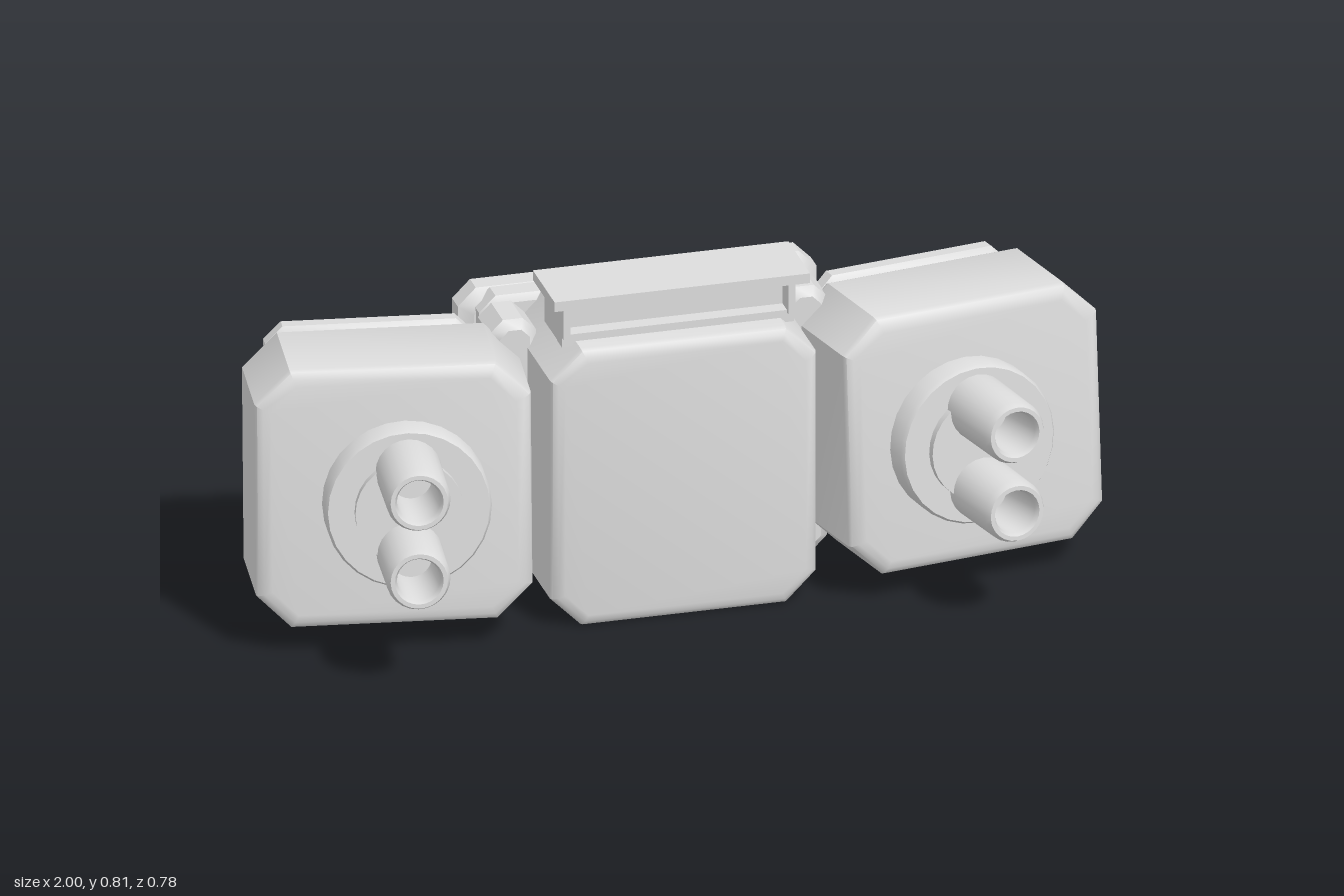
import * as THREE from 'three';
import { toCreasedNormals } from 'three/addons/utils/BufferGeometryUtils.js';

const grey = new THREE.MeshStandardMaterial({ color: 0xdcdcdc });
grey.name = 'pale grey';

function add(parent, name, geometry, x = 0, y = 0, z = 0) {
  const mesh = new THREE.Mesh(geometry, grey);
  mesh.name = name;
  mesh.position.set(x, y, z);
  parent.add(mesh);
  return mesh;
}

// Block with cut corners and softened front and back rims, centred on its origin
function bevelBlock(w, h, d, cut, rim, rimDepth = rim, segments = 1) {
  const a = w / 2 - rim, b = h / 2 - rim;
  const shape = new THREE.Shape([
    [a, -b + cut], [a, b - cut], [a - cut, b], [-a + cut, b],
    [-a, b - cut], [-a, -b + cut], [-a + cut, -b], [a - cut, -b],
  ].map(([x, y]) => new THREE.Vector2(x, y)));
  const geometry = new THREE.ExtrudeGeometry(shape, {
    depth: d - 2 * rimDepth, bevelEnabled: true, bevelSegments: segments,
    bevelSize: rim, bevelThickness: rimDepth,
  }).translate(0, 0, -d / 2 + rimDepth);
  return toCreasedNormals(geometry, 0.6);
}

// Turned part whose axis points along +z
function turned(points, sides) {
  const geometry = new THREE.LatheGeometry(points.map(([r, z]) => new THREE.Vector2(r, z)), sides);
  return toCreasedNormals(geometry.rotateX(Math.PI / 2), 0.6);
}

function createWing(side) {
  const wing = new THREE.Group();
  wing.name = side > 0 ? 'leftPod' : 'rightPod';
  wing.position.set(side * 0.665, 0.37, -0.05);
  wing.rotation.set(-0.073, side * 0.157, 0, 'YXZ');

  add(wing, 'podBody', bevelBlock(0.635, 0.625, 0.3, 0.06, 0.035, 0.025, 3), 0, 0, 0.005);

  // Mounting disc with its raised centre
  const cx = -0.025 * side;
  add(wing, 'mountDisc', turned([[0, 0.12], [0.192, 0.12], [0.192, 0.213], [0.186, 0.223], [0, 0.223]], 28), cx, -0.007);
  add(wing, 'discCentre', turned([[0, 0.21], [0.125, 0.21], [0.125, 0.242], [0, 0.242]], 28), cx, -0.007);

  // Two hollow barrels, one above the other, with their mouths level in depth
  for (const y of [-0.098, 0.098]) {
    add(wing, 'barrel', turned([
      [0.076, 0.2], [0.074, 0.415], [0.066, 0.433], [0.056, 0.433], [0.05, 0.42], [0.048, 0.27], [0, 0.27],
    ], 24), cx, y - 0.01, y * 0.073);
  }

  // Rear cover, its inner step, lower panel and base lip
  const x = 0.014 * side;
  add(wing, 'coverStep', bevelBlock(0.44, 0.54, 0.1, 0.03, 0.01), x, 0, -0.175);
  add(wing, 'rearCover', bevelBlock(0.48, 0.585, 0.07, 0.03, 0.018), x, 0, -0.23);
  add(wing, 'lowerPanel', bevelBlock(0.445, 0.1, 0.02, 0.008, 0.003), x, -0.222, -0.258);
  add(wing, 'baseLip', bevelBlock(0.42, 0.05, 0.17, 0.015, 0.01), x, -0.303, -0.165);

  // Round bolt with a six-sided head
  const bolt = turned([[0, 0], [0.06, 0], [0.06, 0.025], [0.054, 0.031], [0, 0.031]], 20).rotateY(Math.PI);
  add(wing, 'boltCollar', bolt, side * 0.165, -0.19, -0.245);
  const head = new THREE.CylinderGeometry(0.04, 0.04, 0.012, 6).rotateX(Math.PI / 2);
  add(wing, 'boltHead', toCreasedNormals(head, 0.5), side * 0.165, -0.19, -0.279);
  return wing;
}

export function createModel() {
  const model = new THREE.Group();
  model.name = 'twinBarrelPack';

  // Central housing
  add(model, 'centreBody', bevelBlock(0.63, 0.69, 0.39, 0.055, 0.03, 0.025, 3), 0, 0.345, -0.092);

  // Back plate with a narrower step in front
  add(model, 'backPlate', bevelBlock(0.85, 0.68, 0.11, 0.025, 0.03), 0, 0.35, -0.335);
  add(model, 'backStep', bevelBlock(0.78, 0.68, 0.08, 0.03, 0.015), 0, 0.35, -0.28);

  // Upright rails joining the pods to the centre
  for (const s of [-1, 1]) {
    add(model, 'sideRail', bevelBlock(0.11, 0.66, 0.14, 0.02, 0.02), s * 0.345, 0.355, -0.18);
  }

  // Top hood: back block, floor, end walls and lid around an open slot
  const box = (w, h, d) => new THREE.BoxGeometry(w, h, d);
  add(model, 'hoodBlock', box(0.55, 0.11, 0.11), 0, 0.735, -0.055);
  add(model, 'hoodFloor', box(0.55, 0.03, 0.04), 0, 0.693, 0.018);
  for (const s of [-1, 1]) add(model, 'hoodEnd', box(0.017, 0.09, 0.05), s * 0.2665, 0.747, 0.025);
  add(model, 'hoodLid', box(0.605, 0.024, 0.186), 0, 0.798, -0.018);

  model.add(createWing(1), createWing(-1));
  return model;
}
